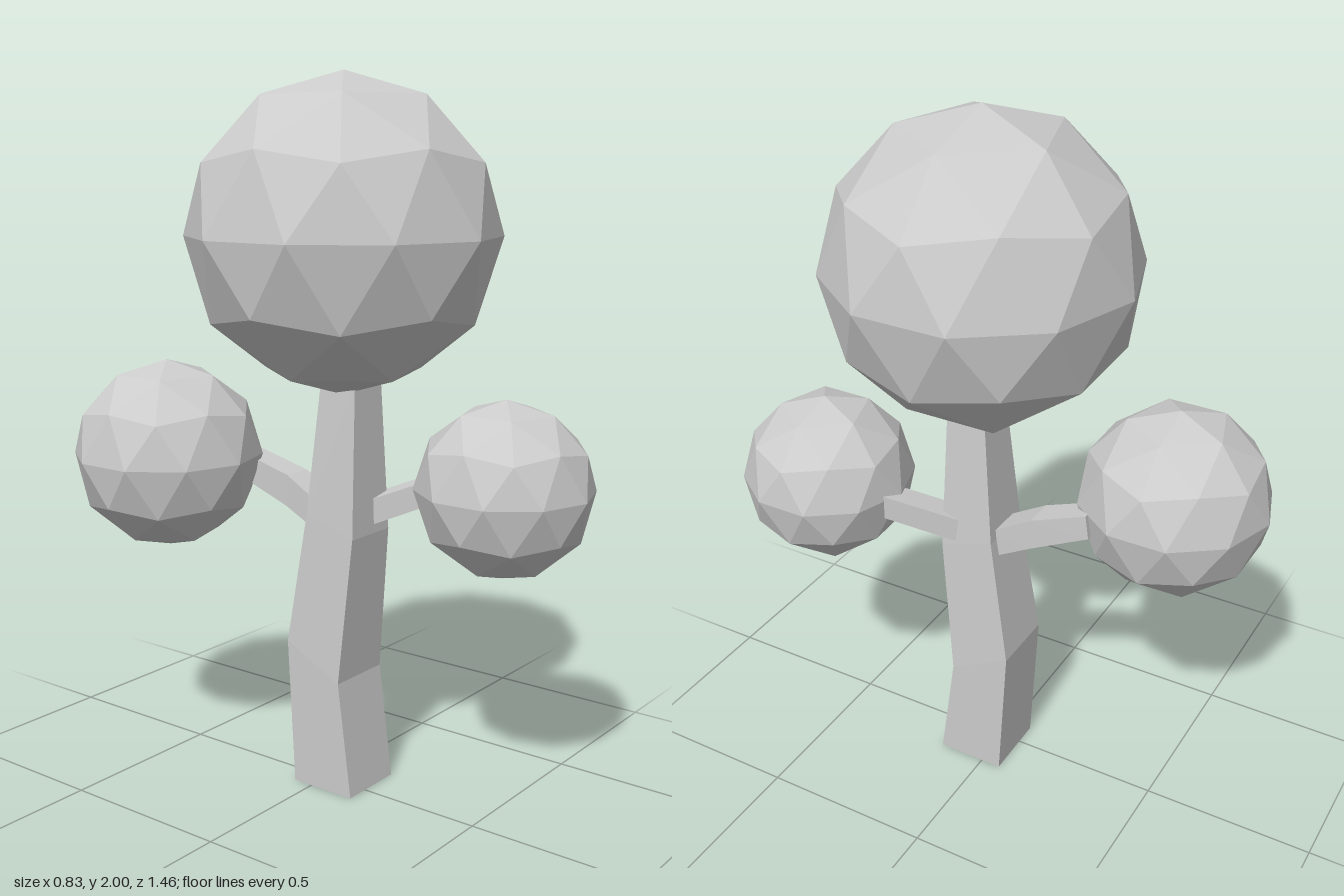
import * as THREE from 'three';

const material = new THREE.MeshStandardMaterial({ color: 0xcccccc, flatShading: true });

// Solid through a series of four-cornered rings, capped at both ends
function loft(name, rings) {
  const positions = rings.flat(2);
  const index = [];
  for (let r = 0; r < rings.length - 1; r++) {
    for (let i = 0; i < 4; i++) {
      const a = r * 4 + i, b = r * 4 + (i + 1) % 4;
      index.push(a, b, b + 4, a, b + 4, a + 4);
    }
  }
  const e = (rings.length - 1) * 4;
  index.push(0, 2, 1, 0, 3, 2, e, e + 1, e + 2, e, e + 2, e + 3);
  const indexed = new THREE.BufferGeometry();
  indexed.setAttribute('position', new THREE.Float32BufferAttribute(positions, 3));
  indexed.setIndex(index);
  const geometry = indexed.toNonIndexed();
  geometry.computeVertexNormals();
  const mesh = new THREE.Mesh(geometry, material);
  mesh.name = name;
  return mesh;
}

// Trunk ring: x range, then height and depth of its front and back edges
function trunkRing(x0, x1, yFront, zFront, yBack, zBack) {
  return [[x0, yFront, zFront], [x1, yFront, zFront], [x1, yBack, zBack], [x0, yBack, zBack]];
}

// Branch ring: middle of the lower and upper edges, and the sideways half width
function branchRing(low, high, sx, sz) {
  const at = (p, s) => [p[0] + s * sx, p[1], p[2] + s * sz];
  return [at(low, -1), at(low, 1), at(high, 1), at(high, -1)];
}

// Faceted ball of leaves with one corner pointing straight up
function foliage(name, radius, x, y, z) {
  const geometry = new THREE.IcosahedronGeometry(radius, 1);
  geometry.rotateZ(-Math.atan(2 / (1 + Math.sqrt(5))));
  const mesh = new THREE.Mesh(geometry, material);
  mesh.name = name;
  mesh.position.set(x, y, z);
  return mesh;
}

export function createModel() {
  const tree = new THREE.Group();
  tree.name = 'tree';

  // Bent, tapering trunk
  tree.add(loft('trunk', [
    trunkRing(-0.07, 0.13, 0, 0.14, 0, -0.06),
    trunkRing(-0.07, 0.13, 0.33, 0.095, 0.42, -0.085),
    trunkRing(-0.055, 0.115, 0.75, 0.132, 0.8, -0.027),
    trunkRing(-0.03, 0.09, 1.18, 0.12, 1.18, 0.005),
  ]));

  // Back branch, rising in two bends
  tree.add(loft('backBranch', [
    branchRing([0.035, 0.73, 0], [0.035, 0.815, 0], -0.05, 0),
    branchRing([0.03, 0.8, -0.135], [0.03, 0.89, -0.13], -0.045, 0),
    branchRing([0.01, 0.87, -0.295], [0.01, 0.94, -0.285], -0.042, 0),
  ]));

  // Front branch, leaving the trunk's left side
  tree.add(loft('frontBranch', [
    branchRing([0.05, 0.75, 0.055], [0.05, 0.825, 0.055], 0.035, -0.02),
    branchRing([0.175, 0.85, 0.28], [0.175, 0.92, 0.28], 0.035, -0.02),
  ]));

  tree.add(foliage('crown', 0.43, 0, 1.57, 0.057));
  tree.add(foliage('frontFoliage', 0.245, 0.15, 0.905, 0.485));
  tree.add(foliage('backFoliage', 0.273, -0.158, 0.937, -0.455));
  return tree;
}
